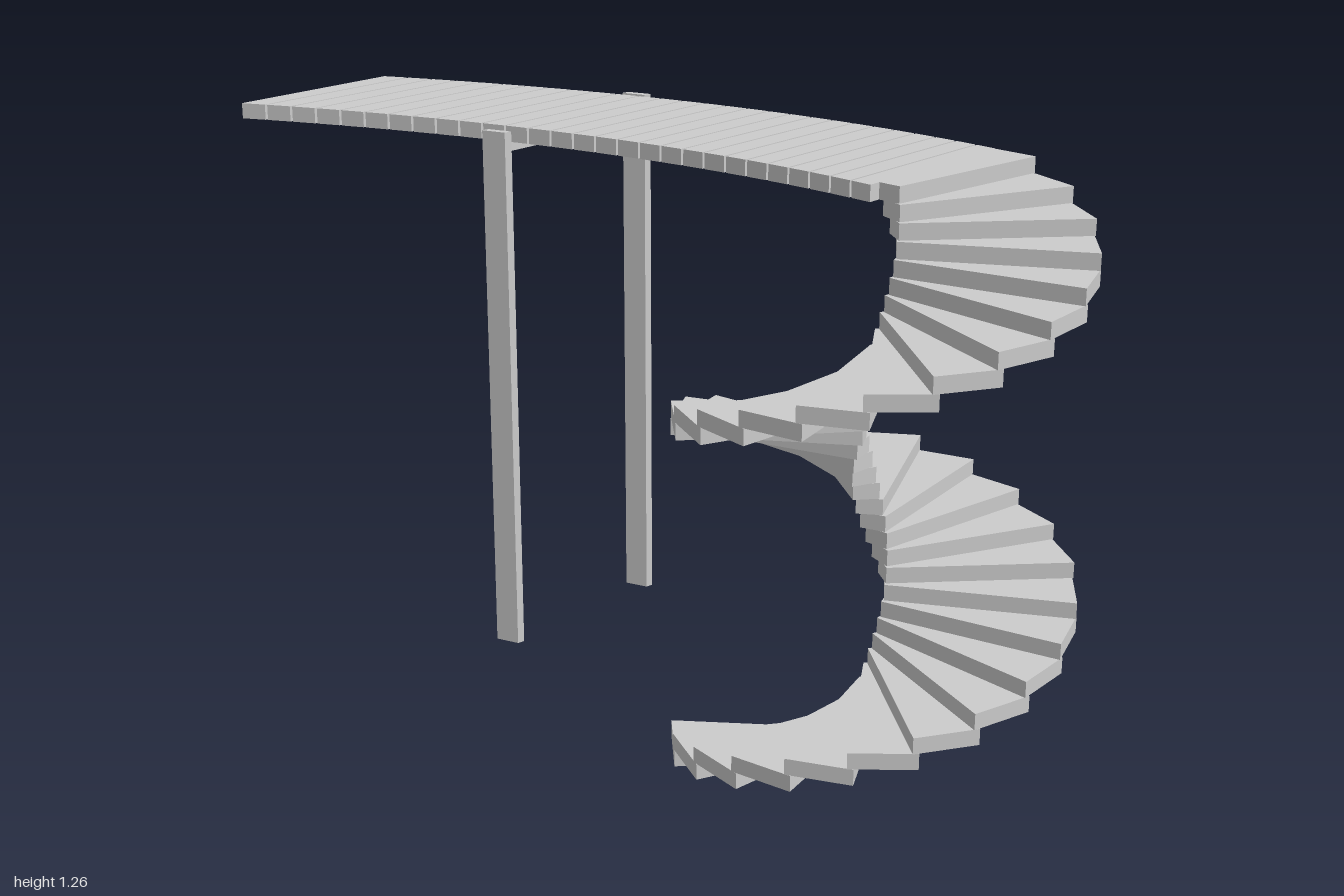
import * as THREE from 'three';

const material = new THREE.MeshStandardMaterial({ color: 0xcccccc, flatShading: true });

// Flat-topped slab from a plan outline of [x, z] corners
function slab(name, outline, bottom, top) {
  const shape = new THREE.Shape(outline.map(([x, z]) => new THREE.Vector2(x, -z)));
  const geometry = new THREE.ExtrudeGeometry(shape, { depth: top - bottom, bevelEnabled: false });
  geometry.rotateX(-Math.PI / 2).translate(0, bottom, 0);
  const mesh = new THREE.Mesh(geometry, material);
  mesh.name = name;
  return mesh;
}

const STEPS = 35, RISE = 0.0356, BASE = 0.015, TOP = BASE + STEPS * RISE;
const CX = 0.57, CZ = -0.082, RADIUS = 0.428;
const SLANT = [0.055, 0.425]; // from the back edge of the deck to its front edge

// Back edge of the curved deck: z for a given x
const backEdge = (x) => {
  const u = 0.57 - x;
  return -0.505 + 0.0586 * u + 0.2 * u * u;
};

// Tapered treads winding up around an open centre, each lapping over the one below
function spiralStair() {
  const group = new THREE.Group();
  group.name = 'spiralStair';
  for (let k = 0; k < STEPS; k++) {
    const start = THREE.MathUtils.degToRad(136.5 - 17.2 * k);
    const end = start - THREE.MathUtils.degToRad(19);
    const mid = (start + end) / 2;
    const c = Math.cos(mid), s = Math.sin(mid);
    const rim = (a) => [CX + RADIUS * Math.cos(a), CZ + RADIUS * Math.sin(a)];
    const inner = (t) => [CX + 0.025 * c + t * s, CZ + 0.025 * s - t * c];
    const y = BASE + k * RISE;
    group.add(slab('step', [inner(-0.015), rim(start), rim(end), inner(0.042)], y, y + RISE));
  }
  return group;
}

// Parallel planks following the curve with narrow gaps
function deck() {
  const group = new THREE.Group();
  group.name = 'deck';
  const count = 28, from = -1, pitch = (0.485 - from) / count, gap = 0.005;
  for (let i = 0; i < count; i++) {
    const a = from + i * pitch, b = a + pitch - gap;
    const za = backEdge(a), zb = backEdge(b);
    group.add(slab('plank', [
      [a, za], [b, zb],
      [b + SLANT[0], zb + SLANT[1]], [a + SLANT[0], za + SLANT[1]],
    ], TOP - RISE, TOP));
  }
  return group;
}

// Two flat posts outside the deck edges, joined by a beam underneath
function support() {
  const group = new THREE.Group();
  group.name = 'support';
  const x0 = -0.457, x1 = -0.405;
  const z0 = backEdge(x0), z1 = backEdge(x1);
  const [sx, sz] = SLANT;
  const thick = 0.018;
  group.add(slab('backPost', [
    [x0, z0 - thick], [x1, z1 - thick], [x1, z1], [x0, z0],
  ], 0, TOP + 0.004));
  group.add(slab('frontPost', [
    [x0 + sx, z0 + sz], [x1 + sx, z1 + sz],
    [x1 + sx, z1 + sz + thick], [x0 + sx, z0 + sz + thick],
  ], 0, TOP - 0.012));
  group.add(slab('crossBeam', [
    [x0, z0], [x1, z1], [x1 + sx, z1 + sz], [x0 + sx, z0 + sz],
  ], TOP - RISE - 0.02, TOP - RISE));
  return group;
}

export function createModel() {
  const model = new THREE.Group();
  model.name = 'spiralStairWithWalkway';
  model.add(spiralStair(), deck(), support());
  return model;
}
